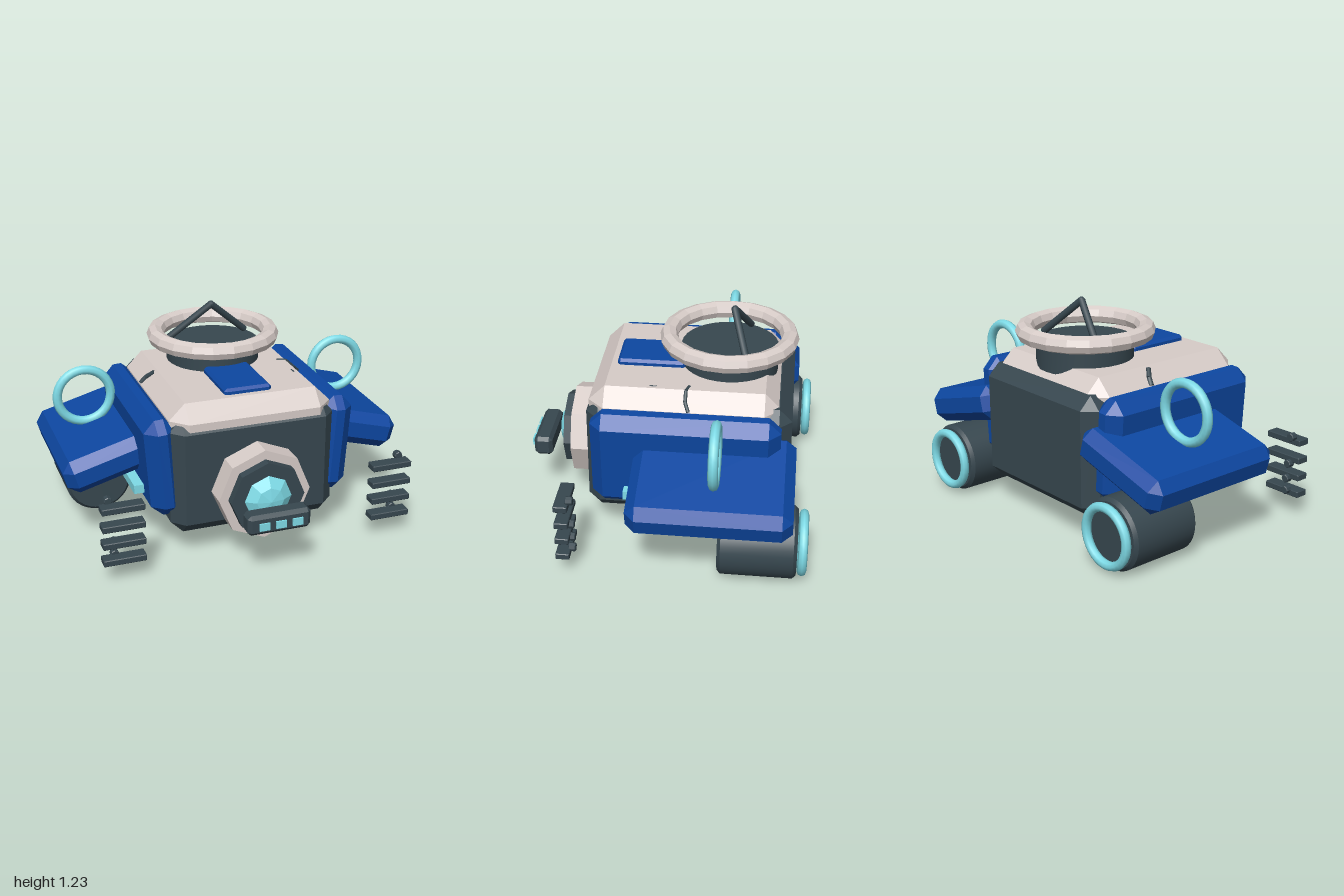
import * as THREE from 'three';
import { toCreasedNormals } from 'three/addons/utils/BufferGeometryUtils.js';
import { ConvexGeometry } from 'three/addons/geometries/ConvexGeometry.js';

const material = (name, color) => {
  const m = new THREE.MeshStandardMaterial({ color });
  m.name = name;
  return m;
};

// Box with all edges and corners cut off by c
function chamferBox(w, h, d, c) {
  const pts = [];
  const [x, y, z] = [w / 2, h / 2, d / 2];
  for (const i of [-1, 1]) for (const j of [-1, 1]) for (const k of [-1, 1]) {
    pts.push(
      new THREE.Vector3(i * x, j * (y - c), k * (z - c)),
      new THREE.Vector3(i * (x - c), j * y, k * (z - c)),
      new THREE.Vector3(i * (x - c), j * (y - c), k * z));
  }
  return new ConvexGeometry(pts);
}

// Cylinder along z with bevelled rims
function drum(r, length, bevel, sides) {
  const h = length / 2;
  const profile = [[0, -h], [r - bevel, -h], [r, -h + bevel], [r, h - bevel], [r - bevel, h], [0, h]];
  const g = new THREE.LatheGeometry(profile.map(p => new THREE.Vector2(...p)), sides);
  return toCreasedNormals(g.rotateX(Math.PI / 2), 0.5);
}

const faceted = g => toCreasedNormals(g, 0.05);

export function createModel() {
  const model = new THREE.Group();
  model.name = 'hoverCraft';
  const dark = material('charcoal', 0x37474f);
  const blue = material('navyBlue', 0x0d47a1);
  const beige = material('warmGrey', 0xd7ccc8);
  const cyan = material('paleCyan', 0x80deea);

  const add = (name, geometry, mat, x, y, z, rotZ = 0) => {
    const mesh = new THREE.Mesh(geometry, mat);
    mesh.name = name;
    mesh.position.set(x, y, z);
    mesh.rotation.z = rotZ;
    model.add(mesh);
    return mesh;
  };

  // Straight round bar between two points
  const bar = (name, a, b, r, mat) => {
    const dir = b.clone().sub(a);
    const mid = a.clone().add(b).multiplyScalar(0.5);
    const mesh = add(name, new THREE.CylinderGeometry(r, r, dir.length(), 8), mat, mid.x, mid.y, mid.z);
    mesh.quaternion.setFromUnitVectors(new THREE.Vector3(0, 1, 0), dir.normalize());
  };

  // Hull, upper shell and roof hatch
  add('hull', chamferBox(0.95, 0.675, 1.115, 0.07), dark, 0, 0.4925, -0.1325);
  add('upperShell', chamferBox(0.93, 0.355, 1.045, 0.09), beige, 0, 0.7275, -0.1075);
  add('roofHatch', chamferBox(0.27, 0.07, 0.38, 0.015), blue, 0, 0.902, 0.1);

  // Turret with its halo ring and V-shaped aerial
  add('turret', toCreasedNormals(new THREE.CylinderGeometry(0.27, 0.27, 0.14, 32), 0.5), dark, 0, 0.93, -0.325);
  const halo = faceted(new THREE.TorusGeometry(0.335, 0.05, 8, 20).rotateX(Math.PI / 2));
  add('haloRing', halo, beige, 0, 1.05, -0.32);
  const apex = new THREE.Vector3(0, 1.215, -0.345);
  for (const s of [-1, 1]) bar('aerialArm', apex, new THREE.Vector3(s * 0.235, 1.01, -0.43), 0.02, dark);
  add('aerialTip', new THREE.SphereGeometry(0.02, 8, 6), dark, apex.x, apex.y, apex.z);

  // Front eye: octagonal housing, dark collar and faceted dome
  const octagon = (r, d) => faceted(new THREE.CylinderGeometry(r, r, d, 8).rotateX(Math.PI / 2));
  add('eyeHousing', octagon(0.262, 0.255), beige, 0, 0.412, 0.4275);
  add('eyeCollar', octagon(0.21, 0.06), dark, 0, 0.412, 0.575);
  const dome = new THREE.SphereGeometry(0.155, 8, 6).rotateX(Math.PI / 2).scale(1, 1, 0.65);
  add('eyeDome', faceted(dome), cyan, 0, 0.412, 0.555);

  // Sensor block with three lights
  add('sensorBlock', chamferBox(0.355, 0.115, 0.105, 0.02), dark, 0, 0.355, 0.7325);
  for (const x of [-0.093, 0, 0.093]) {
    add('sensorLight', new THREE.BoxGeometry(0.058, 0.042, 0.009), cyan, x, 0.355, 0.799);
  }

  for (const s of [-1, 1]) {
    // Side armour, wing, hoop and light strip
    add('sidePanel', chamferBox(0.18, 0.57, 1.02, 0.065), blue, s * 0.5, 0.545, -0.125, -s * 0.07);
    add('wing', chamferBox(0.62, 0.2, 0.865, 0.055), blue, s * 0.695, 0.52, -0.2875, -s * 0.27);
    add('wingHoop', new THREE.TorusGeometry(0.155, 0.027, 8, 32), cyan, s * 0.782, 0.765, -0.305);
    add('lightStrip', new THREE.BoxGeometry(0.08, 0.05, 0.4), cyan, s * 0.595, 0.375, 0);

    // Rear thruster and its glowing rim
    add('thruster', drum(0.195, 0.42, 0.018, 32), dark, s * 0.712, 0.2, -0.54);
    add('thrusterRim', new THREE.TorusGeometry(0.155, 0.025, 8, 32), cyan, s * 0.712, 0.2, -0.78);

    // Floating vent slats with bolts
    for (const y of [0.44, 0.335, 0.235, 0.135]) {
      add('ventSlat', chamferBox(0.235, 0.036, 0.075, 0.004), dark, s * 0.778, y, 0.4925);
    }
    for (const [x, y] of [[0.845, 0.47], [0.83, 0.31], [0.82, 0.22], [0.82, 0.15]]) {
      add('ventBolt', drum(0.024, 0.04, 0.004, 8), dark, s * x, y, 0.45);
    }
  }

  // Thin cracks in the upper shell
  const crack = (points, r) => {
    const v = points.map(p => new THREE.Vector3(...p));
    for (let i = 1; i < v.length; i++) bar('shellCrack', v[i - 1], v[i], r, dark);
  };
  crack([[0.33, 0.9, -0.13], [0.38, 0.9, -0.115], [0.425, 0.858, -0.115], [0.465, 0.82, -0.135]], 0.01);
  crack([[-0.46, 0.82, -0.25], [-0.43, 0.855, -0.24], [-0.39, 0.89, -0.21]], 0.014);
  crack([[0.35, 0.902, 0.045], [0.352, 0.902, 0.085]], 0.006);

  return model;
}
